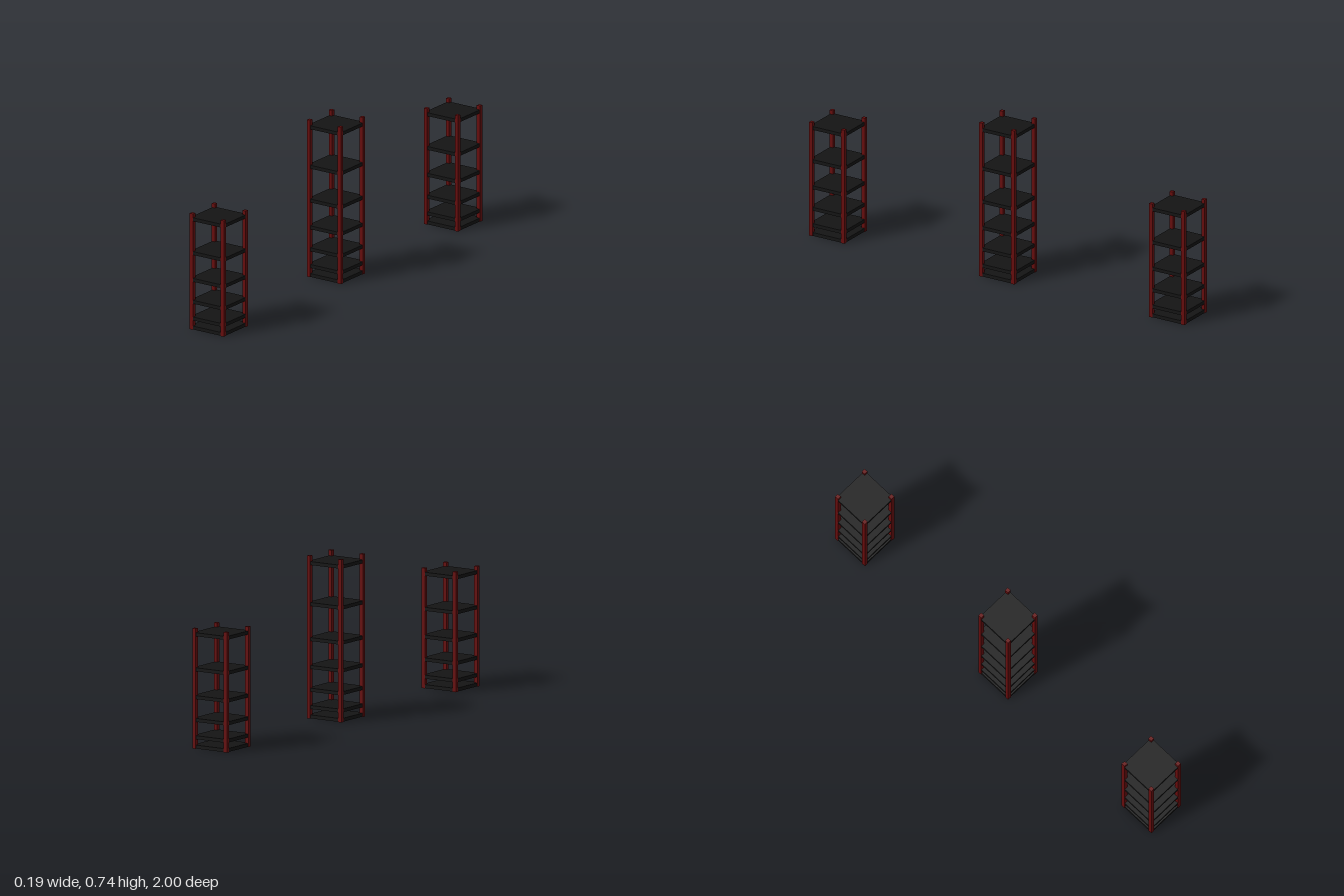
import * as THREE from 'three';

const HALF = 0.094;   // half width of a tower
const POST = 0.018;   // post thickness
const SHELF = 0.016;  // shelf thickness
const LEVELS = [0.009, 0.052, 0.131, 0.235, 0.362, 0.522, 0.709];

const red = new THREE.MeshStandardMaterial({ color: 0x660c0c });
const black = new THREE.MeshStandardMaterial({ color: 0x141414 });

function addBox(group, name, size, position, material) {
  const mesh = new THREE.Mesh(new THREE.BoxGeometry(...size), material);
  mesh.name = name;
  mesh.position.set(...position);
  group.add(mesh);
}

// Open shelf tower: four corner posts and shelves spaced wider towards the top
function createTower(name, height, shelfCount) {
  const tower = new THREE.Group();
  tower.name = name;
  const offset = HALF - POST / 2;
  for (const sx of [-1, 1]) {
    for (const sz of [-1, 1]) {
      addBox(tower, 'cornerPost', [POST, height, POST], [sx * offset, height / 2, sz * offset], red);
    }
  }
  // Shelves sit just inside the outer faces of the posts
  const width = 2 * (HALF - 0.002);
  for (const y of LEVELS.slice(0, shelfCount)) {
    addBox(tower, 'shelf', [width, SHELF, width], [0, y, 0], black);
  }
  return tower;
}

export function createModel() {
  const model = new THREE.Group();
  model.name = 'shelfTowers';

  // Tall tower in the middle, shorter ones at the front and back
  model.add(createTower('middleTower', 0.743, 7));
  for (const [name, side] of [['frontTower', 1], ['backTower', -1]]) {
    const tower = createTower(name, 0.549, 6);
    tower.position.z = side * (1 - HALF);
    model.add(tower);
  }
  return model;
}
